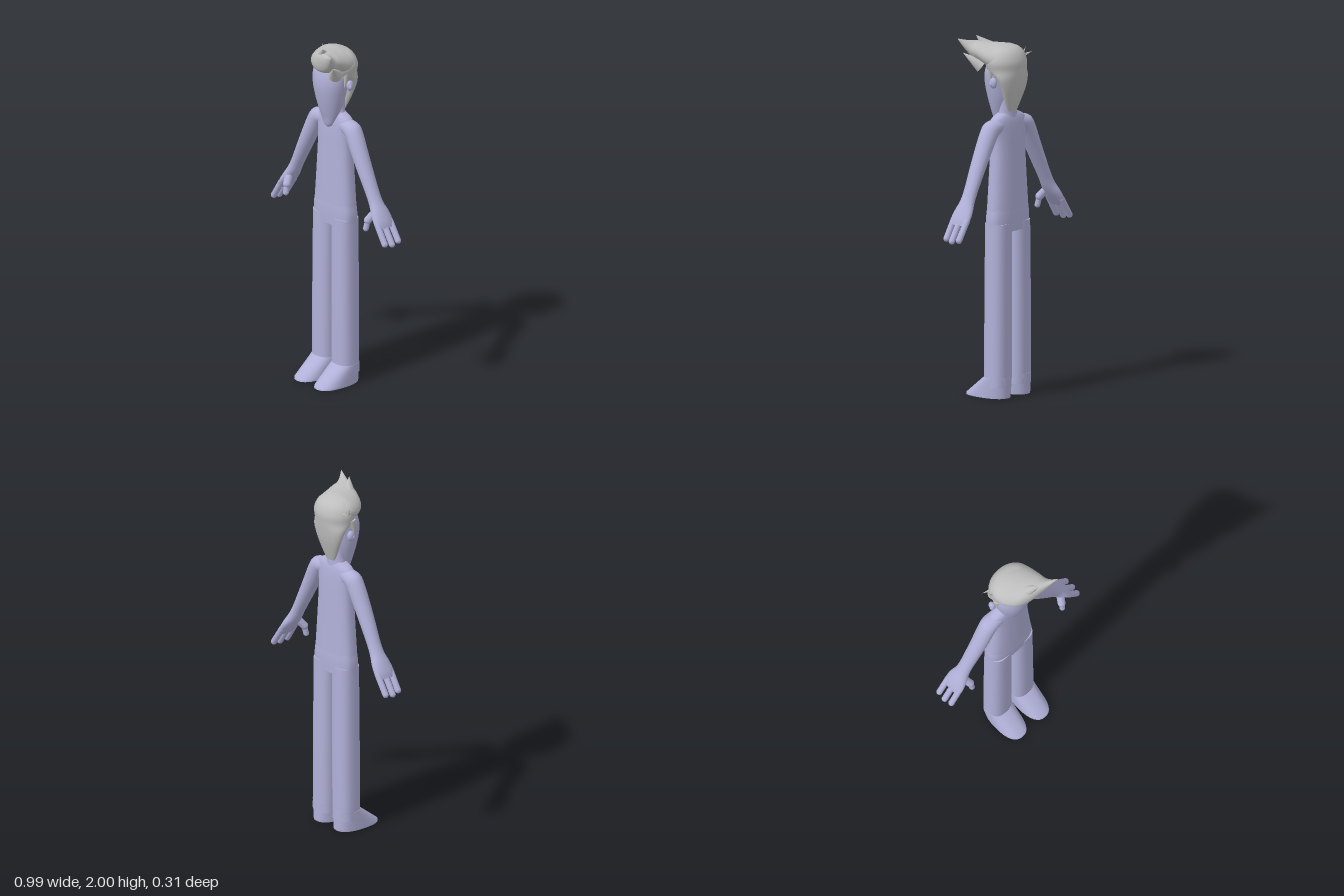
import * as THREE from 'three';

const V = (x, y, z) => new THREE.Vector3(x, y, z);
const skin = new THREE.MeshStandardMaterial({ color: 0xb0b0d8 });
skin.name = 'lavender';
const hairGrey = new THREE.MeshStandardMaterial({ color: 0xbebebe });
hairGrey.name = 'hair grey';

// Cross-sections: centre c, half-axes u and v
const flat = (y, cx, cz, rx, rz) => ({ c: V(cx, y, cz), u: V(rx, 0, 0), v: V(0, 0, rz) });
const upright = (z, x0, x1, y0, y1, tilt = 0) => ({
  c: V((x0 + x1) / 2, (y0 + y1) / 2, z), u: V((x1 - x0) / 2, tilt, 0), v: V(0, (y1 - y0) / 2, 0),
});
const tilted = (x, y, z, r, rz, a) => ({
  c: V(x, y, z), u: V(r * Math.cos(a), r * Math.sin(a), 0), v: V(0, 0, rz),
});

// Closed skin over superellipse sections; steps > 1 smooths between them
function loft(name, material, rings, { p = 2, steps = 4, n = 32 } = {}) {
  const curve = (k) => new THREE.CatmullRomCurve3(rings.map((r) => r[k]), false, 'catmullrom', 0.5);
  const [cc, cu, cv] = ['c', 'u', 'v'].map(curve);
  const rows = (rings.length - 1) * steps;
  const mid = rings[Math.floor(rings.length / 2)];
  const along = rings[rings.length - 1].c.clone().sub(rings[0].c);
  const flip = mid.u.clone().cross(mid.v).dot(along) < 0 ? -1 : 1;
  const pos = [];
  const index = [];
  const sup = (a) => Math.sign(a) * Math.abs(a) ** (2 / p);
  const addRing = (i) => {
    const c = cc.getPoint(i / rows), u = cu.getPoint(i / rows), v = cv.getPoint(i / rows);
    for (let j = 0; j < n; j++) {
      const a = (j / n) * Math.PI * 2;
      const q = c.clone().addScaledVector(u, sup(Math.cos(a))).addScaledVector(v, flip * sup(Math.sin(a)));
      pos.push(q.x, q.y, q.z);
    }
    return c;
  };
  for (let i = 0; i <= rows; i++) addRing(i);
  for (let i = 0; i < rows; i++) {
    for (let j = 0; j < n; j++) {
      const a = i * n + j, b = i * n + ((j + 1) % n);
      index.push(a, b, b + n, a, b + n, a + n);
    }
  }
  // End caps with their own corners, so their edges stay crisp
  for (const end of [0, rows]) {
    const base = pos.length / 3;
    const c = addRing(end);
    pos.push(c.x, c.y, c.z);
    for (let j = 0; j < n; j++) {
      const a = base + j, b = base + ((j + 1) % n);
      if (end === 0) index.push(base + n, b, a);
      else index.push(base + n, a, b);
    }
  }
  const g = new THREE.BufferGeometry();
  g.setAttribute('position', new THREE.Float32BufferAttribute(pos, 3));
  g.setIndex(index);
  g.computeVertexNormals();
  const mesh = new THREE.Mesh(g, material);
  mesh.name = name;
  return mesh;
}

// Place a y-aligned geometry between two points
function between(name, material, geometry, a, b) {
  const mesh = new THREE.Mesh(geometry, material);
  mesh.name = name;
  mesh.position.copy(a).add(b).multiplyScalar(0.5);
  mesh.quaternion.setFromUnitVectors(V(0, 1, 0), b.clone().sub(a).normalize());
  return mesh;
}
const finger = (name, a, b, r) => between(name, skin, new THREE.CapsuleGeometry(r, a.distanceTo(b), 6, 12), a, b);
const spike = (name, a, b, r) => between(name, hairGrey, new THREE.ConeGeometry(r, a.distanceTo(b), 12), a, b);

function ball(name, material, c, s) {
  const mesh = new THREE.Mesh(new THREE.SphereGeometry(1, 20, 14), material);
  mesh.name = name;
  mesh.position.copy(c);
  mesh.scale.copy(s);
  return mesh;
}

function addArm(group, s) {
  const side = s > 0 ? 'left' : 'right';
  const rows = [
    [0.08, 1.515, -0.055, 0.045, 0.045, 1.2],
    [0.135, 1.502, -0.055, 0.052, 0.05, 0.8],
    [0.165, 1.465, -0.054, 0.05, 0.05, 0.52],
    [0.205, 1.39, -0.052, 0.046, 0.048, 0.49],
    [0.26, 1.285, -0.052, 0.04, 0.044, 0.49],
    [0.315, 1.18, -0.054, 0.034, 0.04, 0.49],
    [0.345, 1.125, -0.055, 0.033, 0.044, 0.49],
    [0.375, 1.08, -0.056, 0.031, 0.058, 0.5],
    [0.405, 1.035, -0.055, 0.025, 0.064, 0.5],
    [0.423, 1.005, -0.055, 0.017, 0.056, 0.5],
  ];
  group.add(loft(side + 'Arm', skin, rows.map(([x, y, z, r, rz, a]) => tilted(s * x, y, z, r, rz, s * a))));
  // Three fingers and a thumb
  [[-0.102, 0.472, 0.937], [-0.055, 0.476, 0.928], [-0.01, 0.468, 0.937]].forEach(([z, x, y], i) => {
    group.add(finger(side + 'Finger' + (i + 1), V(s * 0.405, 1.035, z), V(s * x, y, z), 0.0175));
  });
  group.add(finger(side + 'ThumbBase', V(s * 0.362, 1.09, -0.03), V(s * 0.342, 1.045, 0.005), 0.022));
  group.add(finger(side + 'Thumb', V(s * 0.343, 1.045, 0.005), V(s * 0.338, 0.998, 0.015), 0.016));
}

function addLeg(group, s) {
  const side = s > 0 ? 'left' : 'right';
  group.add(loft(side + 'Leg', skin, [
    flat(0.06, s * 0.083, -0.055, 0.073, 0.069),
    flat(0.5, s * 0.081, -0.055, 0.073, 0.069),
    flat(0.97, s * 0.078, -0.055, 0.071, 0.067),
  ], { p: 2.5 }));
  // Wedge foot with a rounded toe
  group.add(loft(side + 'Foot', skin, [
    flat(0, s * 0.084, 0.013, 0.075, 0.138),
    flat(0.012, s * 0.084, 0.01, 0.076, 0.137),
    flat(0.115, s * 0.083, -0.055, 0.074, 0.07),
  ], { p: 2.4, steps: 1 }));
}

function addHair(group) {
  // Back of the hair tapering to the nape
  group.add(loft('hairBack', hairGrey, [
    flat(1.59, 0.005, -0.092, 0.035, 0.012),
    flat(1.65, 0.005, -0.097, 0.065, 0.026),
    flat(1.72, 0.005, -0.102, 0.096, 0.039),
    flat(1.78, 0.008, -0.093, 0.117, 0.057),
    flat(1.825, 0.01, -0.06, 0.125, 0.094),
    flat(1.87, 0.013, -0.055, 0.131, 0.1),
    flat(1.915, 0.013, -0.05, 0.115, 0.088),
    flat(1.945, 0.012, -0.045, 0.08, 0.06),
    flat(1.96, 0.01, -0.04, 0.01, 0.01),
  ]));
  // Quiff swept forward and to one side
  group.add(loft('quiff', hairGrey, [
    upright(-0.13, -0.05, 0.07, 1.82, 1.92),
    upright(-0.09, -0.1, 0.125, 1.815, 1.95),
    upright(-0.045, -0.118, 0.145, 1.81, 1.962),
    upright(0, -0.112, 0.152, 1.82, 1.963, 0.01),
    upright(0.04, -0.09, 0.155, 1.835, 1.965, 0.018),
    upright(0.075, -0.055, 0.158, 1.845, 1.968, 0.02),
    upright(0.1, 0.0, 0.165, 1.87, 1.97, 0.025),
    upright(0.12, 0.09, 0.177, 1.92, 1.977, 0.015),
    upright(0.14, 0.185, 0.191, 1.985, 1.991),
  ]));
  group.add(spike('upperTuft', V(0.02, 1.92, 0.05), V(0.08, 2.0, 0.105), 0.045));
  group.add(spike('sideTuft', V(0.11, 1.84, 0.04), V(0.18, 1.915, 0.115), 0.04));
  // Sideburns
  for (const s of [-1, 1]) {
    group.add(spike('sideburn', V(s * 0.108 + 0.004, 1.84, -0.035), V(s * 0.114, 1.745, -0.022), 0.022));
  }
  // Stray strands
  group.add(spike('strand', V(-0.11, 1.89, -0.095), V(-0.15, 1.9, -0.105), 0.007));
  group.add(spike('strand', V(-0.115, 1.885, -0.065), V(-0.132, 1.925, -0.075), 0.007));
}

export function createModel() {
  const group = new THREE.Group();
  group.name = 'figure';

  group.add(loft('head', skin, [
    flat(1.493, 0, -0.004, 0.012, 0.01),
    flat(1.51, 0, -0.005, 0.032, 0.022),
    flat(1.55, 0, -0.01, 0.053, 0.037),
    flat(1.6, 0, -0.014, 0.071, 0.056),
    flat(1.67, 0, -0.017, 0.092, 0.076),
    flat(1.75, 0, -0.017, 0.109, 0.087),
    flat(1.82, 0, -0.025, 0.113, 0.088),
    flat(1.88, 0, -0.035, 0.09, 0.07),
    flat(1.92, 0, -0.04, 0.03, 0.03),
  ]));
  group.add(loft('neck', skin, [
    flat(1.55, 0, -0.055, 0.072, 0.045),
    flat(1.6, 0, -0.057, 0.06, 0.042),
    flat(1.72, 0, -0.06, 0.06, 0.045),
  ]));
  group.add(loft('torso', skin, [
    flat(1.045, 0, -0.055, 0.146, 0.068),
    flat(1.2, 0, -0.055, 0.134, 0.064),
    flat(1.38, 0, -0.055, 0.123, 0.059),
    flat(1.46, 0, -0.055, 0.126, 0.056),
    flat(1.52, 0, -0.055, 0.137, 0.051),
    flat(1.555, 0, -0.055, 0.12, 0.044),
    flat(1.58, 0, -0.055, 0.07, 0.034),
  ], { p: 2.5 }));
  group.add(loft('hips', skin, [
    flat(0.925, 0, -0.055, 0.149, 0.066),
    flat(1.0, 0, -0.055, 0.15, 0.067),
    flat(1.055, 0, -0.055, 0.143, 0.064),
  ], { p: 2.8 }));

  for (const s of [-1, 1]) {
    addArm(group, s);
    addLeg(group, s);
    // Ear with a small inner fold
    group.add(ball('ear', skin, V(s * 0.122, 1.757, -0.055), V(0.018, 0.03, 0.022)));
    group.add(ball('earFold', skin, V(s * 0.134, 1.752, -0.048), V(0.009, 0.014, 0.01)));
  }
  addHair(group);
  return group;
}
